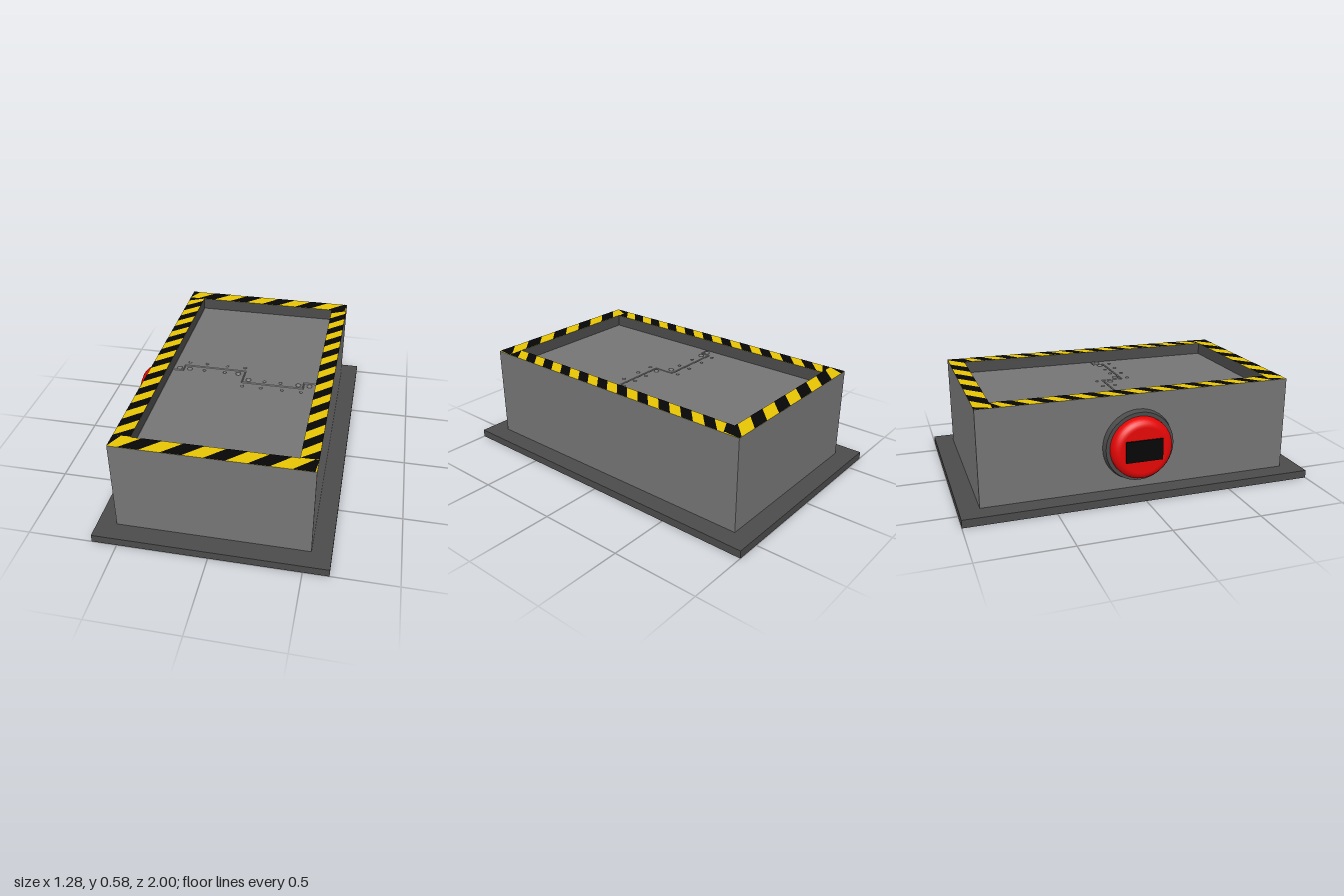
import * as THREE from 'three';

const mat = (name, color, side = THREE.FrontSide) => {
  const m = new THREE.MeshStandardMaterial({ color, side });
  m.name = name;
  return m;
};

export function createModel() {
  const grey = mat('steel grey', 0x757575, THREE.DoubleSide);
  const dark = mat('dark grey', 0x4b4b4b, THREE.DoubleSide);
  const yellow = mat('hazard yellow', 0xf8d404);
  const black = mat('black', 0x060606);
  const red = mat('button red', 0xe80606);

  const model = new THREE.Group();
  model.name = 'hatchBox';
  const add = (name, geometry, material, parent = model) => {
    const mesh = new THREE.Mesh(geometry, material);
    mesh.name = name;
    parent.add(mesh);
    return mesh;
  };

  // Plan shapes are given as [x, z] points and laid flat, facing up
  const plan = pts => new THREE.Shape(pts.map(([x, z]) => new THREE.Vector2(x, -z)));
  const rect = (x, z) => [[-x, z], [x, z], [x, -z], [-x, -z]];
  const flat = (shape, y) => new THREE.ShapeGeometry(shape).rotateX(-Math.PI / 2).translate(0, y, 0);
  const frame = (ox, oz, ix, iz, y) => {
    const s = plan(rect(ox, oz));
    s.holes.push(plan(rect(ix, iz)));
    return flat(s, y);
  };
  // Four upright sheet walls around a rectangle, with sharp corners
  const skin = (x, z, y0, y1) => {
    const g = new THREE.CylinderGeometry(Math.SQRT2, Math.SQRT2, y1 - y0, 4, 1, true)
      .rotateY(Math.PI / 4).scale(x, 1, z).translate(0, (y0 + y1) / 2, 0).toNonIndexed();
    g.computeVertexNormals();
    return g;
  };

  const W = 0.532, L = 0.89, IW = 0.437, IL = 0.797, TOP = 0.584, BASE = 0.045, FLOOR = 0.515;

  // Open-bottomed sheet casing with a hollow flange
  add('flangeTop', frame(0.64, 1, W, L, BASE), dark);
  add('flangeEdge', skin(0.64, 1, 0, BASE), dark);
  add('outerWalls', skin(W, L, BASE, TOP), grey);
  add('recessWalls', skin(IW, IL, FLOOR - 0.03, TOP), dark);
  add('hatchBacking', flat(plan(rect(W, L)), FLOOR - 0.03), dark);

  // Hazard border: yellow frame with slanted black stripes on top
  add('yellowBorder', frame(W, L, IW, IL, TOP), yellow);
  const stripes = new THREE.Group();
  stripes.name = 'blackStripes';
  model.add(stripes);
  const stripeRail = (lo, hi, v0, v1, period, shear, point) => {
    const clamp = u => Math.min(hi, Math.max(lo, u));
    for (let u = lo - period * 0.75; u < hi; u += period) {
      const a = [clamp(u + shear), clamp(u + shear + period / 2)];
      const b = [clamp(u), clamp(u + period / 2)];
      if (a[1] - a[0] + b[1] - b[0] < 0.01) continue;
      const pts = [[a[0], v0], [a[1], v0], [b[1], v1], [b[0], v1]].map(([p, q]) => point(p, q));
      add('stripe', flat(plan(pts), TOP + 0.001), black, stripes);
    }
  };
  for (const s of [-1, 1]) {
    const z = s < 0 ? [-L, -IL] : [IL, L];
    const x = s < 0 ? [-W, -IW] : [IW, W];
    stripeRail(-W, W, z[0], z[1], 0.222, 0.1, (u, v) => [u, v]);
    stripeRail(-IL, IL, x[0], x[1], 0.148, 0.085, (u, v) => [v, u]);
  }

  // Two interlocking doors with a fine bevelled, stepped seam
  const seam = [[-IW, 0.018], [-0.37, 0.018], [-0.37, -0.04], [0, -0.04], [0, 0.08], [0.36, 0.08], [0.36, 0.02], [IW, 0.02]];
  const bevel = 0.004;
  for (const s of [-1, 1]) {
    const edge = seam.map(([x, z]) => [x, z + s * 0.001]);
    const shape = plan([...edge, [IW, s * IL], [-IW, s * IL]]);
    const geometry = new THREE.ExtrudeGeometry(shape, {
      depth: 0.016, bevelEnabled: true, bevelSize: bevel, bevelOffset: -bevel, bevelThickness: bevel, bevelSegments: 1,
    }).rotateX(-Math.PI / 2).translate(0, FLOOR - 0.02, 0);
    add(s < 0 ? 'backDoor' : 'frontDoor', geometry, grey);
  }

  // Rivets along the seam: z, radius, x positions
  const rivets = new THREE.Group();
  rivets.name = 'rivets';
  model.add(rivets);
  const small = 0.01, big = 0.016;
  const rows = [
    [-0.078, small, [-0.35, -0.245, -0.12, -0.01]],
    [-0.003, small, [-0.245, -0.12]],
    [-0.005, big, [-0.397, -0.335, -0.038]],
    [0.05, small, [0.13, 0.225]],
    [0.05, big, [0.035, 0.33, 0.395]],
    [0.12, small, [0.01, 0.12, 0.245, 0.355]],
  ];
  for (const [z, r, xs] of rows) {
    for (const x of xs) {
      const dome = new THREE.SphereGeometry(r, 10, 4, 0, Math.PI * 2, 0, Math.PI / 2).scale(1, 0.6, 1);
      add('rivet', dome, grey, rivets).position.set(x, FLOOR, z);
    }
  }

  // Push button on the right-hand wall, built along +y then turned to face -x
  const button = new THREE.Group();
  button.name = 'button';
  button.position.set(-W, 0.294, -0.013);
  button.rotation.z = Math.PI / 2;
  model.add(button);
  add('buttonBase', new THREE.CylinderGeometry(0.195, 0.206, 0.045, 40).translate(0, 0.0125, 0), dark, button);
  const profile = [new THREE.Vector2(0.174, 0.03)];
  for (let i = 0; i <= 6; i++) {
    const a = (i / 6) * Math.PI / 2;
    profile.push(new THREE.Vector2(0.129 + 0.045 * Math.cos(a), 0.055 + 0.045 * Math.sin(a)));
  }
  profile.push(new THREE.Vector2(0, 0.1));
  add('buttonCap', new THREE.LatheGeometry(profile, 40), red, button);
  add('buttonLabelPlate', new THREE.BoxGeometry(0.12, 0.009, 0.21).translate(0, 0.1035, 0), black, button);

  return model;
}
